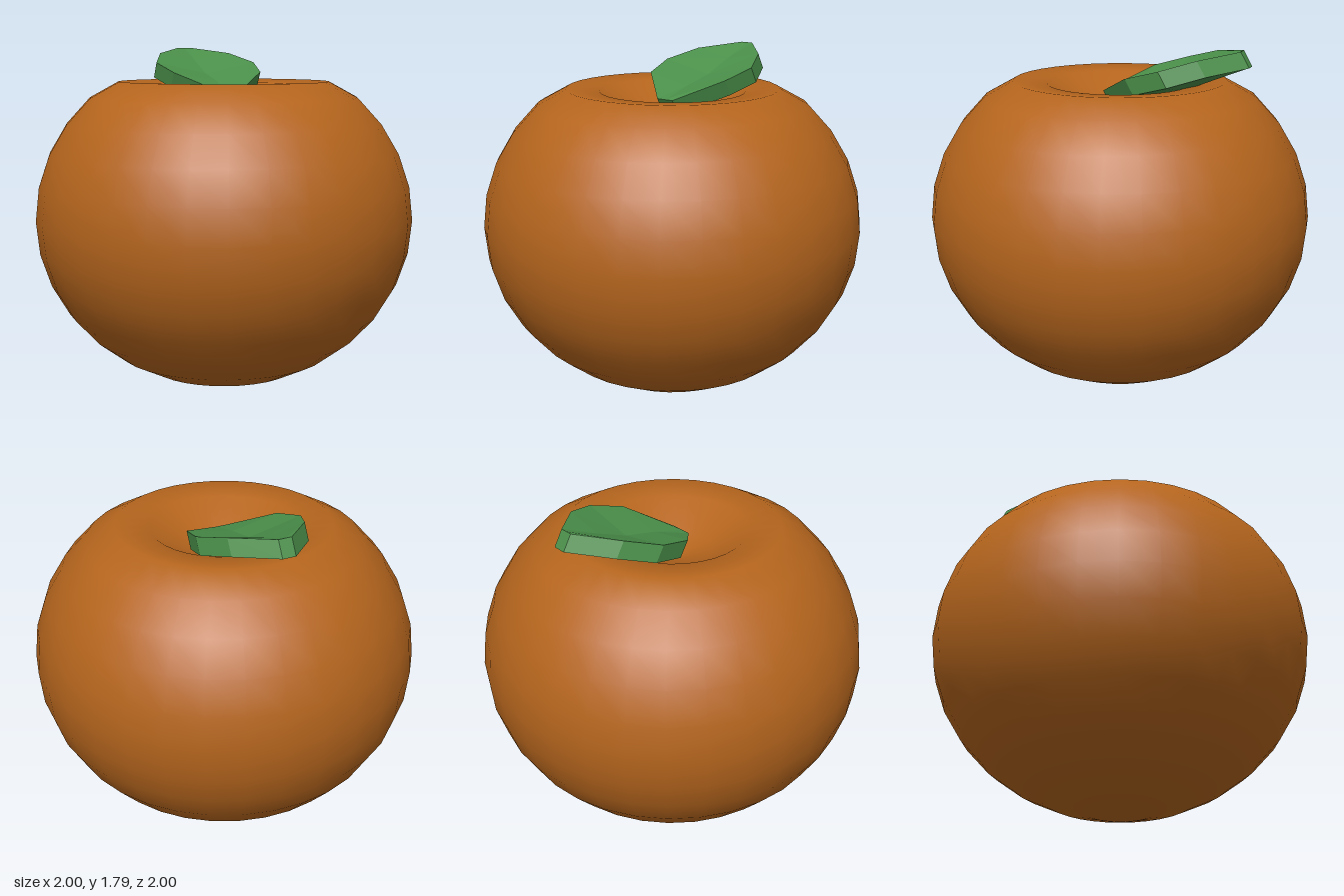
import * as THREE from 'three';

// Squashed sphere with a soft dimple pressed into the top
function createFruit() {
  const profile = [];
  for (let i = 0; i <= 12; i++) {
    const a = (i / 16) * Math.PI;
    profile.push(new THREE.Vector2(Math.sin(a), 0.905 - 0.9 * Math.cos(a)));
  }
  const dimple = [[0.83, 0, 0], [0.555, 1.625], [0.38, 1.608], [0.2, 1.49], [0, 1.435]].slice(1);
  for (const [r, y] of dimple) profile.push(new THREE.Vector2(r, y));
  const fruit = new THREE.Mesh(
    new THREE.LatheGeometry(profile, 32),
    new THREE.MeshStandardMaterial({ color: 0xb5651d })
  );
  fruit.name = 'fruit';
  return fruit;
}

// Thick faceted leaf, folded along its midrib and rising towards the tip
function createLeaf() {
  // distance from base, half width, edge height, midrib drop
  const stations = [
    [0, 0.05, 1.57, 0],
    [0.184, 0.25, 1.67, 0.05],
    [0.366, 0.285, 1.72, 0.06],
    [0.541, 0.205, 1.77, 0.04],
    [0.72, 0.035, 1.8, 0]
  ];
  const thickness = 0.08, lean = 0.045;
  const rings = stations.map(([u, w, y, drop]) => {
    const top = [[-w, y, -u], [0, y - drop, -u], [w, y, -u]];
    const under = top.map(([px, py, pz]) => [px, py - thickness, pz - lean]).reverse();
    return [...top, ...under];
  });

  const n = 6, last = rings.length - 1, index = [];
  for (let i = 0; i < last; i++) {
    for (let j = 0; j < n; j++) {
      const k = (j + 1) % n;
      const a = i * n + j, b = i * n + k, c = b + n, d = a + n;
      index.push(a, b, c, a, c, d);
    }
  }
  // end caps
  for (let j = 1; j < n - 1; j++) {
    index.push(0, j + 1, j, last * n, last * n + j, last * n + j + 1);
  }

  const geometry = new THREE.BufferGeometry();
  geometry.setAttribute('position', new THREE.Float32BufferAttribute(rings.flat(2), 3));
  geometry.setIndex(index);
  geometry.computeVertexNormals();
  const leaf = new THREE.Mesh(
    geometry,
    new THREE.MeshStandardMaterial({ color: 0x4a8f4a, flatShading: true })
  );
  leaf.name = 'leaf';
  leaf.position.set(0.045, 0, 0.058);
  leaf.rotation.y = 0.547;
  return leaf;
}

export function createModel() {
  const model = new THREE.Group();
  model.name = 'fruitWithLeaf';
  model.add(createFruit(), createLeaf());
  return model;
}
